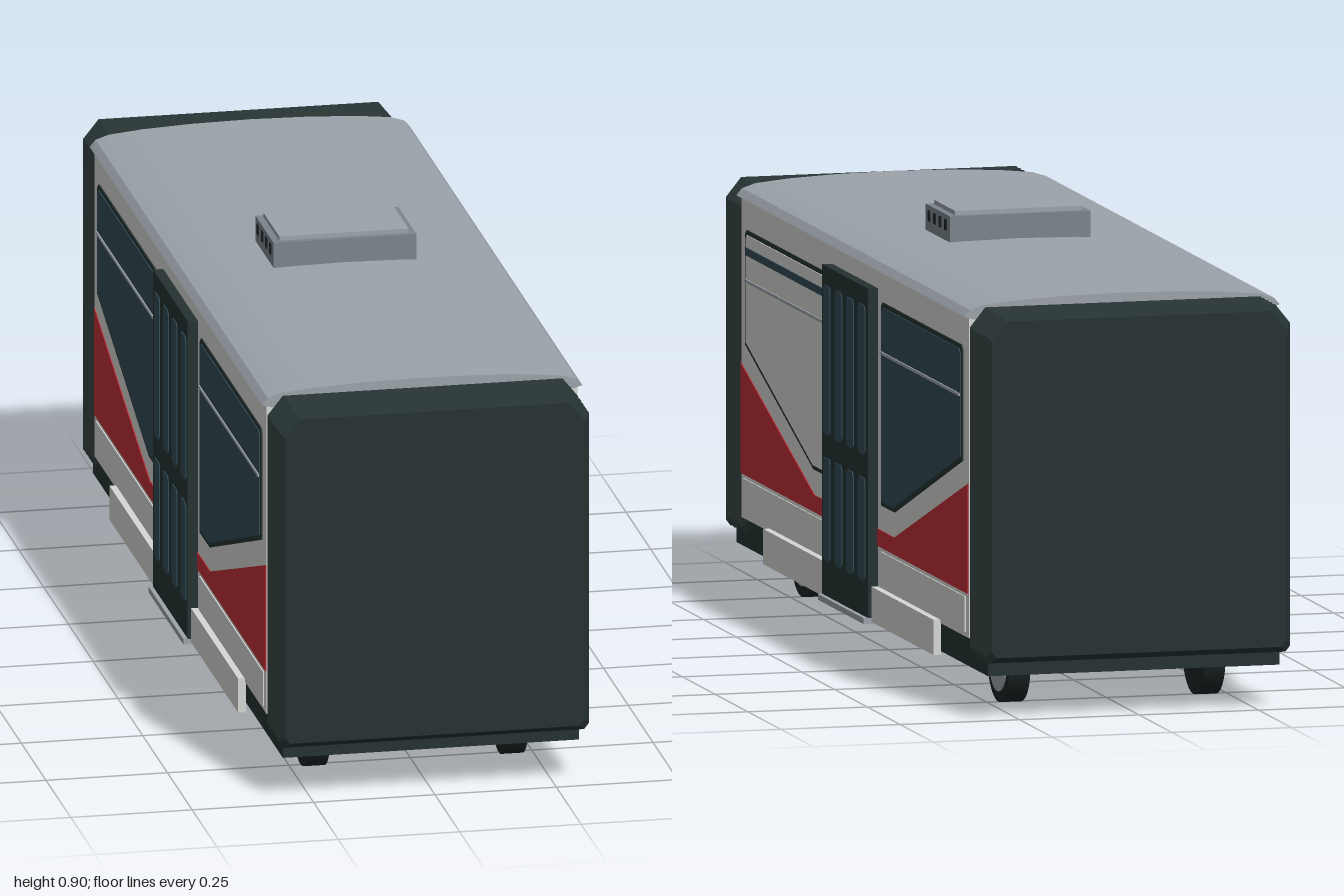
import * as THREE from 'three';
import { toCreasedNormals } from 'three/addons/utils/BufferGeometryUtils.js';

const mat = (name, color, extra = {}) => Object.assign(new THREE.MeshStandardMaterial({ color, ...extra }), { name });

export function createModel() {
  const white = mat('body white', 0xd6d8d5);
  const red = mat('stripe red', 0xc02f38);
  const dark = mat('rubber dark', 0x263232);
  const black = mat('tyre black', 0x1c2424);
  const glass = mat('window glass', 0x334d58);
  const grey = mat('roof grey', 0x9ba3aa);
  const ventGrey = mat('vent grey', 0x7a858b);

  const root = new THREE.Group();
  root.name = 'articulatedBusSection';
  const add = (name, geo, material) => {
    const m = new THREE.Mesh(geo, material);
    m.name = name;
    root.add(m);
    return m;
  };
  // box given by its minimum and maximum corners
  const box = (name, material, [x0, y0, z0], [x1, y1, z1]) =>
    add(name, new THREE.BoxGeometry(x1 - x0, y1 - y0, z1 - z0), material)
      .position.set((x0 + x1) / 2, (y0 + y1) / 2, (z0 + z1) / 2);
  // box mirrored to side s, given by its x range
  const sideBox = (name, material, s, [xa, xb], [ya, yb], [za, zb]) =>
    box(name, material, [Math.min(s * xa, s * xb), ya, za], [Math.max(s * xa, s * xb), yb, zb]);
  // thin plate on side s from [z, y] points, starting at distance x
  const plate = (name, material, s, x, depth, pts) => {
    const shape = new THREE.Shape(pts.map(([z, y]) => new THREE.Vector2(-s * z, y)));
    const geo = new THREE.ExtrudeGeometry(shape, { depth, bevelEnabled: false });
    geo.rotateY(s * Math.PI / 2);
    add(name, geo, material).position.x = s * x;
  };

  // Body shell and underframe
  box('bodyShell', white, [-0.32, 0.15, -0.868], [0.32, 0.808, 0.868]);
  box('underframe', dark, [-0.305, 0.085, -0.96], [0.305, 0.152, 0.96]);
  box('floorPan', dark, [-0.235, 0.075, -0.62], [0.235, 0.086, 0.62]);

  // Curved roof with overhanging eaves
  const half = [[0.33, 0.806], [0.318, 0.82], [0.29, 0.829], [0.22, 0.836], [0.12, 0.841], [0, 0.843]];
  const roofShape = new THREE.Shape([
    ...half, ...half.slice(0, -1).reverse().map(([x, y]) => [-x, y]),
    [-0.31, 0.8], [0.31, 0.8],
  ].map(([x, y]) => new THREE.Vector2(x, y)));
  const roofGeo = new THREE.ExtrudeGeometry(roofShape, { depth: 1.74, bevelEnabled: false });
  roofGeo.translate(0, 0, -0.87);
  add('roof', toCreasedNormals(roofGeo, 0.4), grey);

  // Roof vent with lid and small side openings
  box('roofVent', ventGrey, [-0.147, 0.83, -0.092], [0.147, 0.893, 0.092]);
  box('roofVentLid', grey, [-0.133, 0.893, -0.08], [0.133, 0.902, 0.08]);
  for (const s of [1, -1]) {
    for (let i = 0; i < 4; i++) {
      const z = -0.063 + i * 0.042;
      sideBox('ventOpening', black, s, [0.145, 0.149], [0.861, 0.883], [z - 0.008, z + 0.008]);
    }
  }

  // Pleated bellows, lofted from alternating rings
  const section = (d) => [
    [-0.31 + d, 0.115 + d], [0.31 - d, 0.115 + d], [0.32 - d, 0.128 + d], [0.32 - d, 0.785 - d],
    [0.288 - d, 0.825 - d], [-0.288 + d, 0.825 - d], [-0.32 + d, 0.785 - d], [-0.32 + d, 0.128 + d],
  ];
  const pleats = 5;
  const bellowsGeometry = () => {
    const pos = [];
    const rings = [];
    for (let i = 0; i <= pleats * 2; i++) {
      const z = 0.862 + (0.138 * i) / (pleats * 2);
      rings.push(section(i % 2 ? 0 : 0.012).map(([x, y]) => [x, y, z]));
    }
    for (let i = 0; i < rings.length - 1; i++) {
      const a = rings[i], b = rings[i + 1];
      for (let j = 0; j < a.length; j++) {
        const k = (j + 1) % a.length;
        pos.push(...a[j], ...a[k], ...b[k], ...a[j], ...b[k], ...b[j]);
      }
    }
    const cap = rings[rings.length - 1];
    for (let j = 1; j < cap.length - 1; j++) pos.push(...cap[0], ...cap[j], ...cap[j + 1]);
    const g = new THREE.BufferGeometry();
    g.setAttribute('position', new THREE.Float32BufferAttribute(pos, 3));
    g.computeVertexNormals();
    return g;
  };
  add('frontBellows', bellowsGeometry(), dark);
  add('rearBellows', bellowsGeometry(), dark).rotation.y = Math.PI;

  for (const s of [1, -1]) {
    // Red stripe dipping towards the door
    plate('redStripe', red, s, 0.319, 0.003, [
      [0.866, 0.24], [0.866, 0.465], [0.305, 0.275], [-0.305, 0.275], [-0.866, 0.465], [-0.866, 0.24],
    ]);

    // Windows: dark frame, pane and horizontal rail
    for (const e of [1, -1]) {
      const blank = s > 0 && e > 0;
      const outline = (d) => [
        [0.218 + d, 0.742 - d], [0.818 - d, 0.742 - d], [0.828 - d, 0.732 - d],
        [0.828 - d, 0.507 + d * 0.8], [0.308 - d * 0.2, 0.327 + d], [0.207 + d, 0.327 + d], [0.207 + d, 0.731 - d],
      ].map(([z, y]) => [z * e, y]);
      plate('windowFrame', dark, s, 0.319, 0.004, outline(0));
      plate('windowPane', blank ? white : glass, s, 0.32, 0.005, outline(0.009));
      sideBox('windowRail', grey, s, [0.322, 0.328], [0.637, 0.643], e > 0 ? [0.217, 0.818] : [-0.818, -0.217]);
      if (blank) sideBox('windowSlot', glass, s, [0.322, 0.327], [0.692, 0.708], [0.228, 0.812]);

      // Lower panels and skirts on each side of the door
      sideBox('lowerPanel', white, s, [0.31, 0.3225], [0.16, 0.232], e > 0 ? [0.2, 0.845] : [-0.845, -0.2]);
      sideBox('skirt', white, s, [0.318, 0.334], [0.085, 0.157], e > 0 ? [0.17, 0.65] : [-0.65, -0.17]);
    }

    // Four-leaf door with panes, and its step
    sideBox('door', dark, s, [0.318, 0.341], [0.092, 0.765], [-0.175, 0.175]);
    for (let i = 0; i < 4; i++) {
      const z = -0.13 + i * 0.0885;
      for (const [y0, y1] of [[0.165, 0.375], [0.422, 0.727]]) {
        const w = 0.026, c = 0.008;
        plate('doorPane', glass, s, 0.34, 0.003, [
          [z - w, y0 + c], [z - w + c, y0], [z + w - c, y0], [z + w, y0 + c],
          [z + w, y1 - c], [z + w - c, y1], [z - w + c, y1], [z - w, y1 - c],
        ]);
      }
    }
    sideBox('doorStep', grey, s, [0.3, 0.35], [0.081, 0.093], [-0.175, 0.175]);

    // Wheels with grey hubs
    for (const z of [0.75, -0.75]) {
      const tyre = new THREE.CylinderGeometry(0.086, 0.086, 0.044, 32).rotateZ(Math.PI / 2);
      add('tyre', tyre, black).position.set(s * 0.204, 0.086, z);
      const hub = new THREE.CylinderGeometry(0.064, 0.064, 0.006, 32).rotateZ(Math.PI / 2);
      add('hub', hub, grey).position.set(s * 0.226, 0.086, z);
      const cap = new THREE.CylinderGeometry(0.024, 0.024, 0.006, 20).rotateZ(Math.PI / 2);
      add('hubCap', cap, ventGrey).position.set(s * 0.231, 0.086, z);
    }
  }

  // Axles
  for (const z of [0.75, -0.75]) {
    const axle = new THREE.CylinderGeometry(0.014, 0.014, 0.37, 12).rotateZ(Math.PI / 2);
    add('axle', axle, dark).position.set(0, 0.082, z);
  }

  return root;
}
